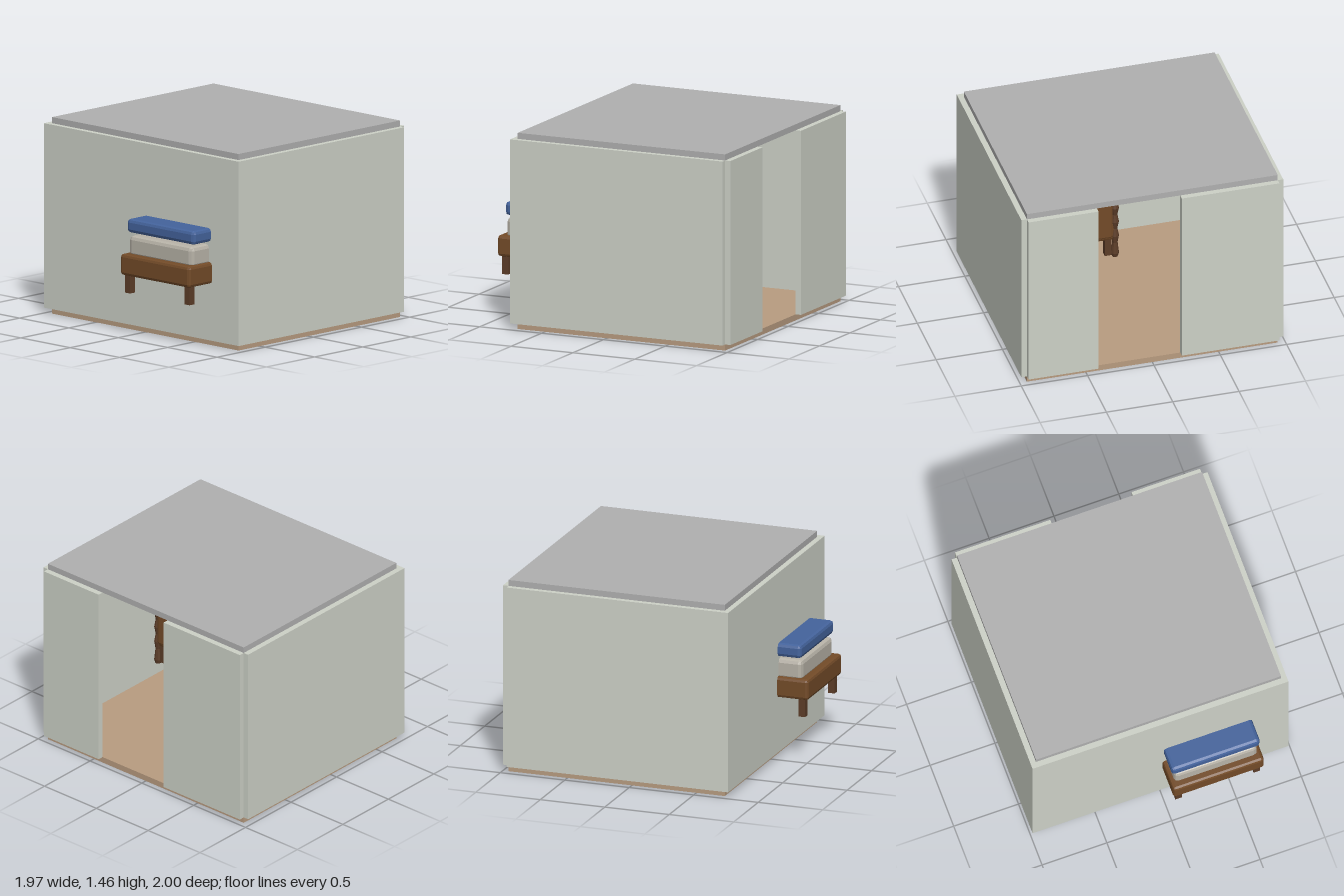
import * as THREE from 'three';
import { RoundedBoxGeometry } from 'three/addons/geometries/RoundedBoxGeometry.js';

const mat = (color) => new THREE.MeshStandardMaterial({ color, flatShading: true });

const WALL = mat(0xcdd1c7), ROOF = mat(0xb0b0b0), FLOOR = mat(0xb89c80);
const WOOD = mat(0x734b28), LEG = mat(0x5c3d28), SHEET = mat(0xb8b3a8), BLUE = mat(0x44639c);

// Box given by its extents on each axis; bevel > 0 chamfers every edge
function block(parent, name, material, [x0, x1], [y0, y1], [z0, z1], bevel = 0) {
  const size = [x1 - x0, y1 - y0, z1 - z0];
  const geometry = bevel
    ? new RoundedBoxGeometry(...size, 1, bevel)
    : new THREE.BoxGeometry(...size);
  const mesh = new THREE.Mesh(geometry, material);
  mesh.name = name;
  mesh.position.set((x0 + x1) / 2, (y0 + y1) / 2, (z0 + z1) / 2);
  parent.add(mesh);
  return mesh;
}

function createRoom() {
  const room = new THREE.Group();
  room.name = 'room';
  const inner = 0.945, outer = 0.987, back = -0.957, front = 0.72;
  const wallY = [0.045, 1.41];

  block(room, 'floor', FLOOR, [-inner, inner], [0, 0.045], [back, front]);
  block(room, 'ceiling', ROOF, [-inner, inner], [1.41, 1.455], [back, front]);
  block(room, 'frontWall', WALL, [-outer, outer], wallY, [front, 0.762]);
  block(room, 'leftWall', WALL, [inner, outer], wallY, [back, front]);
  block(room, 'rightWall', WALL, [-outer, -inner], wallY, [back, front]);

  // Two panels leave the full-height doorway
  block(room, 'backWallLeft', WALL, [0.417, inner], wallY, [-1, back]);
  block(room, 'backWallRight', WALL, [-inner, -0.21], wallY, [-1, back]);
  return room;
}

function createBed() {
  const bed = new THREE.Group();
  bed.name = 'bed';
  bed.position.x = 0.366;

  // Frame and bedding
  block(bed, 'bedFrame', WOOD, [-0.35, 0.35], [0.467, 0.624], [-0.02, 1], 0.022);
  block(bed, 'mattress', SHEET, [-0.32, 0.32], [0.6, 0.755], [0.02, 0.942], 0.03);
  block(bed, 'blanket', BLUE, [-0.34, 0.34], [0.775, 0.876], [0.32, 0.942], 0.025);
  block(bed, 'pillow', SHEET, [-0.24, 0.24], [0.745, 0.84], [0.05, 0.26], 0.03);
  block(bed, 'headboard', WOOD, [-0.33, 0.33], [0.5, 0.89], [-0.045, 0], 0.018);

  // Turned post profile: stacked beads
  const profile = [
    [0, 0.32], [0.022, 0.32], [0.03, 0.35], [0.02, 0.44], [0.03, 0.5], [0.018, 0.56],
    [0.03, 0.62], [0.018, 0.68], [0.03, 0.74], [0.016, 0.79], [0.026, 0.83], [0, 0.86],
  ].map(([r, y]) => new THREE.Vector2(r, y));
  const postGeometry = new THREE.LatheGeometry(profile, 10);

  for (const side of [-1, 1]) {
    const name = side > 0 ? 'Left' : 'Right';
    const legX = side * 0.302;
    for (const [end, z] of [['front', 0.945], ['back', 0.015]]) {
      block(bed, `${end}${name}Leg`, LEG,
        [legX - 0.025, legX + 0.025], [0.335, 0.475], [z - 0.025, z + 0.025]);
    }
    const post = new THREE.Mesh(postGeometry, LEG);
    post.name = `head${name}Post`;
    post.position.set(side * 0.355, 0, 0);
    bed.add(post);
  }
  return bed;
}

export function createModel() {
  const model = new THREE.Group();
  model.name = 'bedroom';
  model.add(createRoom(), createBed());
  return model;
}
